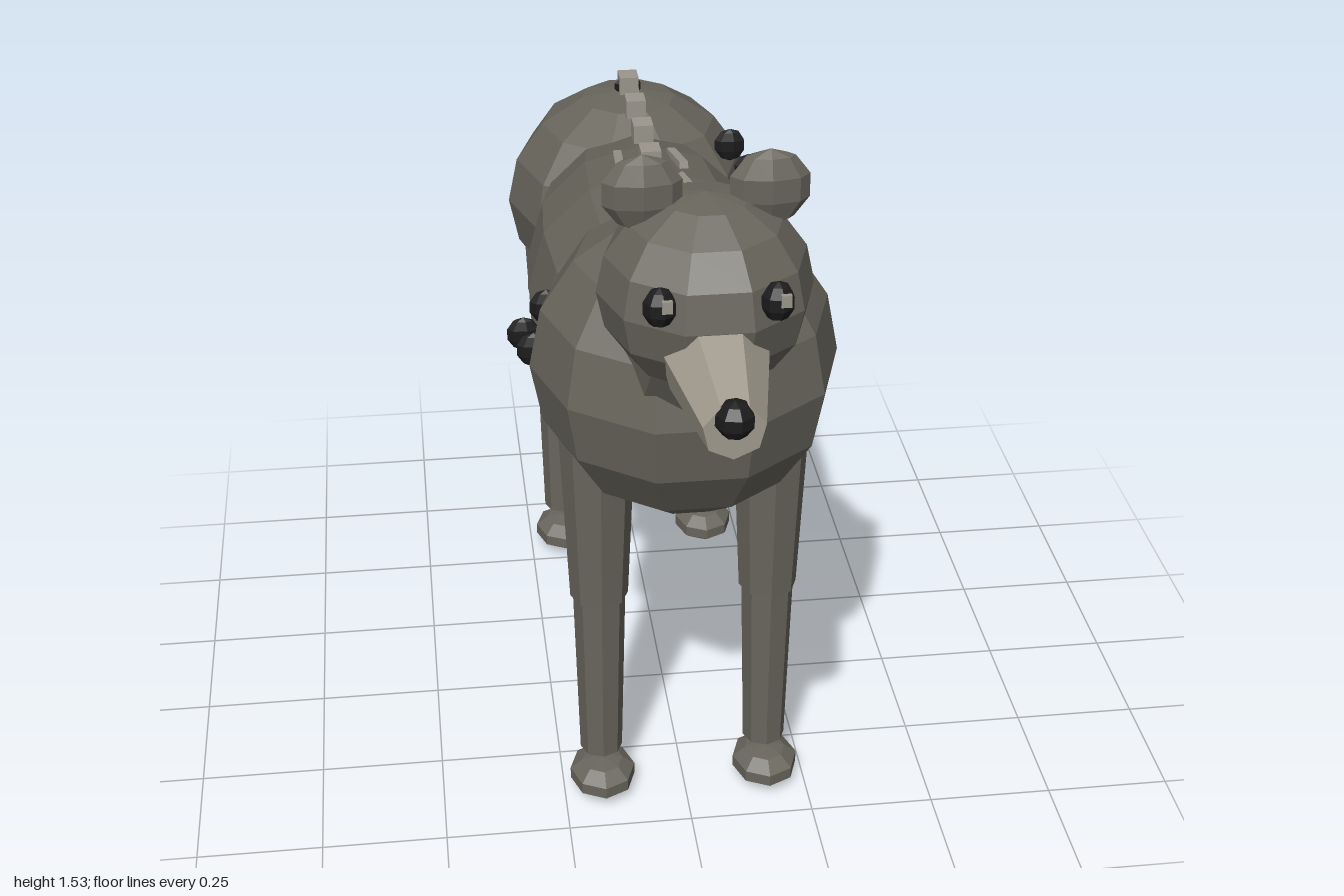
import * as THREE from 'three';

export function createModel() {
  const model = new THREE.Group();
  const paint = (name, color) => {
    const m = new THREE.MeshStandardMaterial({ color, flatShading: true });
    m.name = name;
    return m;
  };
  const fur = paint('fur', 0x68655c);
  const pale = paint('paleMuzzle', 0xa39d90);
  const bone = paint('bone', 0x9a968d);
  const dark = paint('dark', 0x1c1c1c);

  const add = (name, geometry, material, pos) => {
    const mesh = new THREE.Mesh(geometry, material);
    mesh.name = name;
    mesh.position.set(...pos);
    model.add(mesh);
    return mesh;
  };
  // Faceted ellipsoid with its poles up
  const ball = (name, mat, pos, radii, seg = 7, rings = 5) => {
    const g = new THREE.SphereGeometry(1, seg, rings);
    g.scale(...radii);
    return add(name, g, mat, pos);
  };
  // Tapered limb running from point a to point b
  const limb = (name, mat, a, b, ra, rb, seg = 8) => {
    const p = new THREE.Vector3(...a), q = new THREE.Vector3(...b);
    const dir = q.clone().sub(p);
    const g = new THREE.CylinderGeometry(rb, ra, dir.length(), seg);
    const mesh = add(name, g, mat, p.clone().add(q).multiplyScalar(0.5).toArray());
    mesh.quaternion.setFromUnitVectors(new THREE.Vector3(0, 1, 0), dir.normalize());
    return mesh;
  };

  // Body
  ball('shoulders', fur, [0, 0.99, 0.34], [0.295, 0.305, 0.3], 10, 8);
  ball('rump', fur, [0, 0.89, -0.64], [0.275, 0.26, 0.28], 10, 8);
  const torsoShape = new THREE.SphereGeometry(1, 12, 10);
  torsoShape.rotateX(Math.PI / 2);
  torsoShape.scale(0.265, 0.25, 0.59);
  add('torso', torsoShape, fur, [0, 0.907, -0.15]).rotation.x = -0.04;
  limb('neck', fur, [0, 1.0, 0.42], [0, 1.24, 0.61], 0.17, 0.13);
  limb('tail', fur, [0, 1.02, -0.86], [0, 0.93, -1], 0.05, 0, 6);

  // Head
  ball('head', fur, [0, 1.275, 0.61], [0.192, 0.18, 0.195], 10, 8);
  limb('muzzle', pale, [0, 1.2, 0.73], [0, 1.185, 0.965], 0.098, 0.054, 7);
  ball('nose', dark, [0, 1.21, 0.966], [0.035, 0.035, 0.034]);

  for (const s of [-1, 1]) {
    ball('ear', fur, [s * 0.11, 1.458, 0.61], [0.073, 0.07, 0.032], 8, 5);
    ball('eye', dark, [s * 0.1, 1.322, 0.775], [0.03, 0.037, 0.026]);
    add('eyeGlint', new THREE.BoxGeometry(0.018, 0.022, 0.009), bone,
      [s * 0.1 + 0.01, 1.333, 0.798]);

    // Legs and feet
    for (const [end, z, footZ] of [['front', 0.35, 0.37], ['rear', -0.605, -0.577]]) {
      const x = s * 0.17;
      limb(end + 'UpperLeg', fur, [x, 0.87, z], [x, 0.47, z], 0.076, 0.058);
      limb(end + 'LowerLeg', fur, [x, 0.49, z], [x, 0.092, z], 0.053, 0.043);
      ball(end + 'Foot', fur, [x, 0.04, footZ], [0.07, 0.039, 0.083], 8, 5);
    }

    // Thin slanted strips beside the spine
    for (let i = 0; i < 3; i++) {
      const strip = add('backStrip', new THREE.BoxGeometry(0.018, 0.014, 0.15), bone,
        [s * 0.062, 1.15 - i * 0.004, 0.02 - i * 0.137]);
      strip.rotation.set(-0.2, s * 0.06, 0);
    }
  }

  // Row of blocks along the spine
  for (let i = 0; i < 6; i++) {
    add('spineBlock', new THREE.BoxGeometry(0.042, 0.04, 0.05), bone,
      [0, 1.165, 0.06 - i * 0.139]);
  }

  // Dark patches on the flanks and rump
  const patches = [
    [0.215, 1.05, -0.525], [0.265, 0.97, -0.565], [0.265, 0.825, -0.415],
    [-0.28, 0.825, -0.105], [-0.24, 0.96, 0.04], [-0.27, 0.885, 0.08],
  ];
  for (const p of patches) ball('patch', dark, p, [0.036, 0.038, 0.016]);
  ball('rumpPatch', dark, [0, 1.157, -0.635], [0.032, 0.022, 0.012]);

  return model;
}
